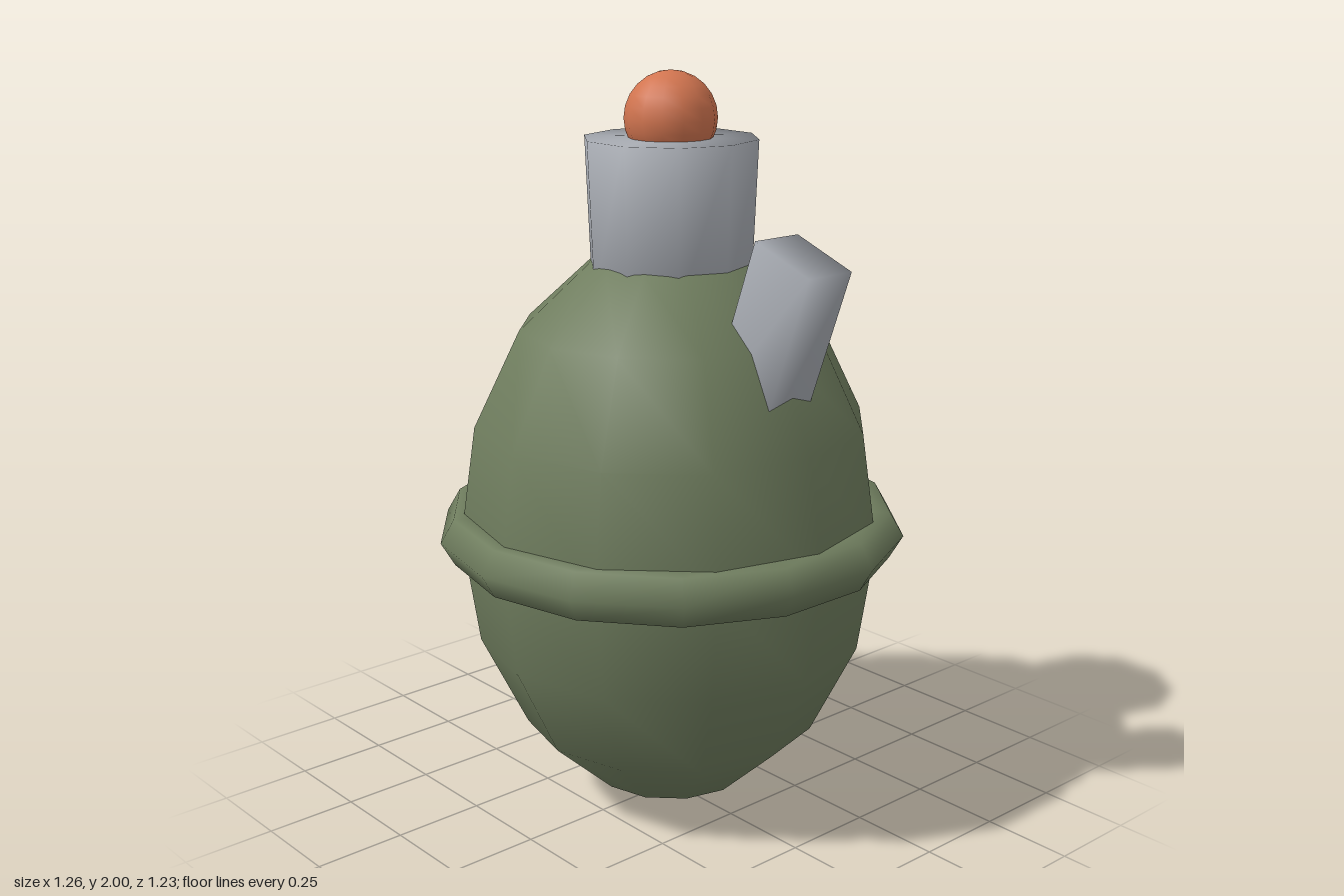
import * as THREE from 'three';
import { mergeVertices } from 'three/addons/utils/BufferGeometryUtils.js';

// Weld all corners so that shading runs smoothly over every edge
function smooth(geometry) {
  geometry.deleteAttribute('uv');
  geometry.deleteAttribute('normal');
  const welded = mergeVertices(geometry, 1e-4);
  welded.computeVertexNormals();
  return welded;
}

export function createModel() {
  const group = new THREE.Group();
  const paint = (name, color) => {
    const material = new THREE.MeshStandardMaterial({ color });
    material.name = name;
    return material;
  };
  const green = paint('olive green', 0x6f7d5e);
  const grey = paint('metal grey', 0xa9adb4);
  const orange = paint('orange', 0xd27550);

  const add = (name, geometry, material, y, z = 0) => {
    const mesh = new THREE.Mesh(smooth(geometry), material);
    mesh.name = name;
    mesh.position.set(0, y, z);
    group.add(mesh);
    return mesh;
  };

  // Egg-shaped body with a band around its middle
  const body = new THREE.SphereGeometry(1, 12, 8).scale(0.57, 0.783, 0.57);
  add('body', body, green, 0.785);
  const band = new THREE.TorusGeometry(0.558, 0.073, 6, 14).rotateX(Math.PI / 2);
  add('band', band, green, 0.785);

  // Slightly flared neck with a ball set into its top
  add('neck', new THREE.CylinderGeometry(0.23, 0.214, 0.4, 10), grey, 1.63);
  const ball = new THREE.SphereGeometry(0.121, 14, 12).rotateY(Math.PI / 2);
  add('ball', ball, orange, 1.879);

  // Square peg leaning out of the front shoulder
  const peg = add('peg', new THREE.BoxGeometry(0.146, 0.5, 0.196), grey, 1.353, 0.397);
  peg.rotation.x = THREE.MathUtils.degToRad(20);

  return group;
}
